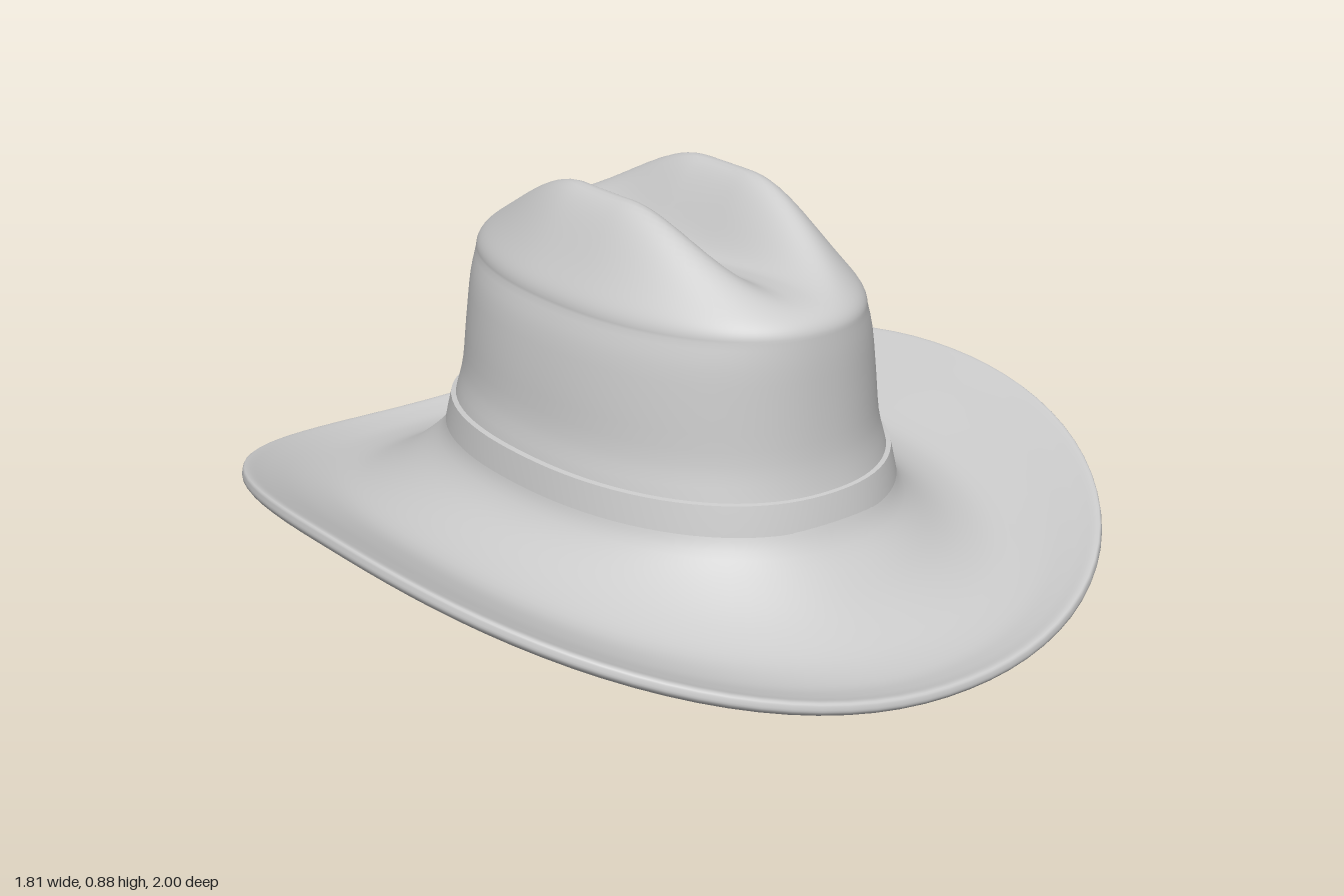
import * as THREE from 'three';
import { toCreasedNormals } from 'three/addons/utils/BufferGeometryUtils.js';

const SEG = 96; // points around each loop
const N = 2.2; // slightly squared oval
const { smoothstep, lerp } = THREE.MathUtils;
const material = new THREE.MeshStandardMaterial({ color: 0xcccccc });

// Joins a list of loops; each loop is a function of the angle returning [x, y, z]
function loft(loops) {
  const pos = [], index = [];
  loops.forEach((loop, i) => {
    for (let j = 0; j < SEG; j++) {
      pos.push(...loop((j / SEG) * Math.PI * 2));
      if (i === loops.length - 1) continue;
      const a = i * SEG + j, c = i * SEG + ((j + 1) % SEG);
      index.push(a, a + SEG, c, c, a + SEG, c + SEG);
    }
  });
  const g = new THREE.BufferGeometry();
  g.setAttribute('position', new THREE.Float32BufferAttribute(pos, 3));
  g.setIndex(index);
  g.computeVertexNormals();
  return g;
}

// Oval with half-width a and half-length b
function oval(a, b, t) {
  const c = Math.cos(t), s = Math.sin(t);
  const r = (Math.abs(c) ** N + Math.abs(s) ** N) ** (-1 / N);
  return [a * r * c, b * r * s];
}

// Loop whose height blends from the side value to the front/back value
function ring(a, b, ySide, yFront) {
  return (t) => {
    const [x, z] = oval(a, b, t);
    return [x, lerp(yFront, ySide, Math.cos(t) ** 2), z];
  };
}

// Loops between a side profile and a front profile, both as [radius, height]
function profileRings(side, front, steps) {
  const curve = (pts) => new THREE.SplineCurve(pts.map((p) => new THREE.Vector2(...p)));
  const cs = curve(side), cf = curve(front);
  return Array.from({ length: steps + 1 }, (_, i) => {
    const p = cs.getPoint(i / steps), q = cf.getPoint(i / steps);
    return ring(p.x, q.x, p.y, q.y);
  });
}

const TOP_A = 0.33, TOP_B = 0.535, SHOULDER = 0.66;

// Height of the crown top: rounded shoulder, two ridges and a centre crease
function topHeight(x, z, s) {
  const ax = Math.abs(x), az = Math.abs(z);
  const w = Math.max(0.01, TOP_A * Math.max(0, 1 - (az / TOP_B) ** N) ** (1 / N));
  const peak = 0.52 * w;
  const ridge = ax < peak
    ? smoothstep(ax, 0.06 * w, peak)
    : 1 - smoothstep(ax, peak, w);
  const along = 1 - smoothstep(az, 0.08, 0.52);
  const crease = (1 - smoothstep(ax, 0, 0.1)) * (1 - smoothstep(az, 0, 0.4));
  return SHOULDER + 0.07 * Math.sqrt(Math.max(0, 1 - s ** 8)) + 0.15 * along * ridge - 0.02 * crease;
}

// Crown loops from the band up to the centre of the top
function crownRings(inset) {
  const wall = profileRings(
    [[0.412, 0.29], [0.402, 0.335], [0.383, 0.4], [0.37, 0.5], [0.352, 0.6], [TOP_A, SHOULDER]].map(([r, y]) => [r - inset, y - inset]),
    [[0.57, 0.29], [0.558, 0.335], [0.547, 0.4], [0.542, 0.5], [0.539, 0.6], [TOP_B, SHOULDER]].map(([r, y]) => [r - inset, y - inset]),
    15,
  );
  const steps = 36;
  for (let k = 1; k <= steps; k++) {
    const s = k === steps ? 0 : Math.cos((k / steps) * Math.PI / 2);
    wall.push((t) => {
      const [x, z] = oval(TOP_A * s, TOP_B * s, t);
      const y = topHeight(x, z, s) - inset;
      return [x * (1 - inset / TOP_A), y, z * (1 - inset / TOP_B)];
    });
  }
  return wall;
}

export function createModel() {
  const hat = new THREE.Group();
  hat.name = 'hat';
  const add = (name, geometry) => {
    const mesh = new THREE.Mesh(geometry, material);
    mesh.name = name;
    hat.add(mesh);
  };

  // Crown and its hollow inside
  add('crown', loft(crownRings(0)));
  add('crownInside', loft(crownRings(0.027).reverse()));

  // Brim: underside outwards, round the edge, then the upper side back in
  add('brim', loft(profileRings(
    [[0.385, 0.264], [0.405, 0.21], [0.45, 0.165], [0.52, 0.125], [0.62, 0.11], [0.75, 0.148], [0.86, 0.21],
      [0.902, 0.242], [0.905, 0.262], [0.895, 0.271],
      [0.85, 0.247], [0.75, 0.19], [0.65, 0.148], [0.56, 0.155], [0.48, 0.19], [0.43, 0.24], [0.412, 0.3]],
    [[0.543, 0.264], [0.58, 0.2], [0.65, 0.125], [0.73, 0.065], [0.82, 0.02], [0.9, 0.005], [0.955, 0.008],
      [0.995, 0.024], [1.0, 0.04], [0.99, 0.05],
      [0.95, 0.042], [0.89, 0.037], [0.81, 0.055], [0.73, 0.1], [0.66, 0.16], [0.6, 0.225], [0.57, 0.3]],
    64,
  )));

  // Band round the foot of the crown
  add('hatBand', toCreasedNormals(loft([
    ring(0.405, 0.56, 0.262, 0.248),
    ring(0.428, 0.586, 0.266, 0.252),
    ring(0.422, 0.579, 0.298, 0.284),
    ring(0.415, 0.571, 0.33, 0.318),
    ring(0.395, 0.55, 0.333, 0.322),
  ]), 0.6));

  return hat;
}
